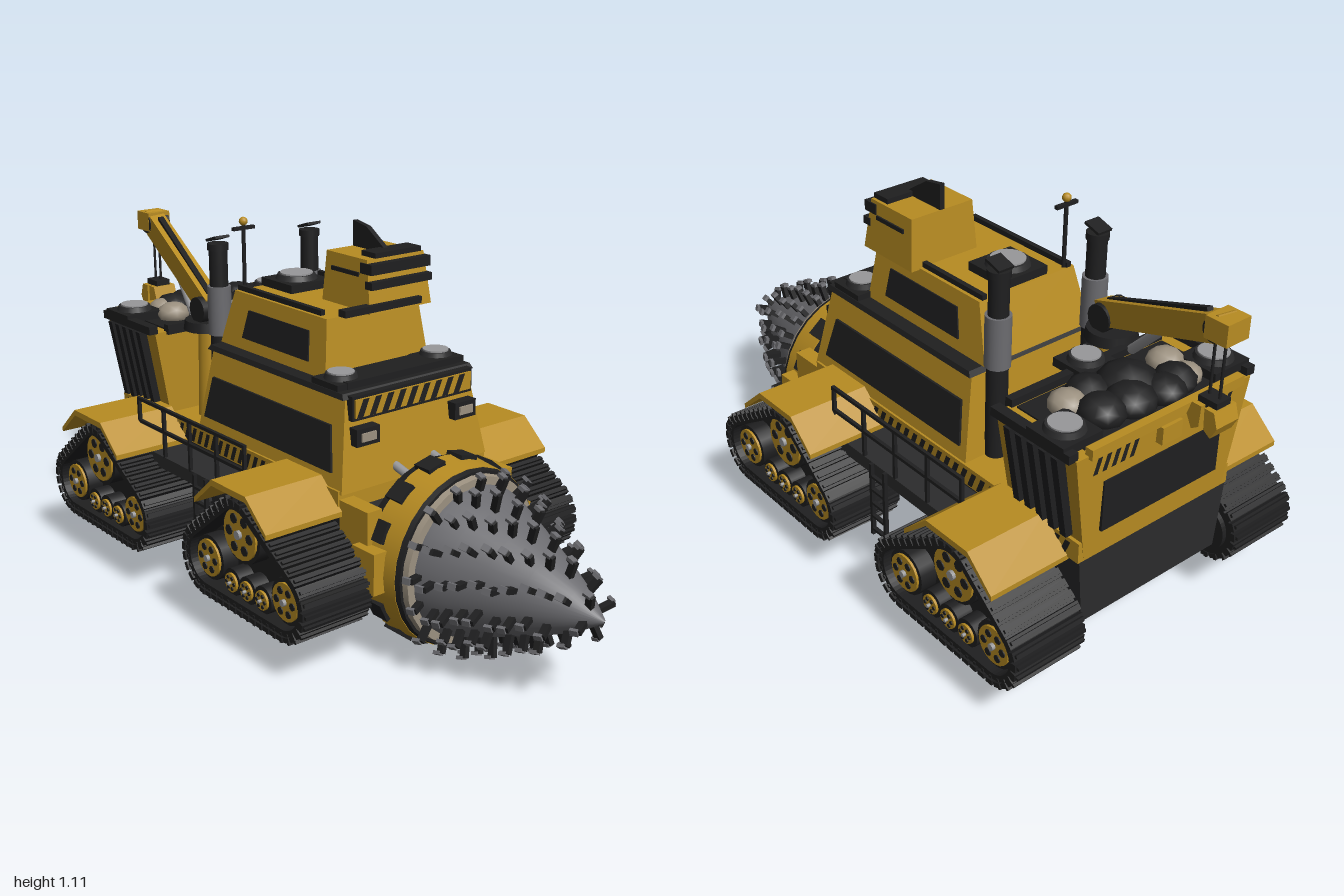
import * as THREE from 'three';
import { mergeGeometries } from 'three/addons/utils/BufferGeometryUtils.js';

const mat = (name, color) => Object.assign(new THREE.MeshStandardMaterial({ color }), { name });

export function createModel() {
  const model = new THREE.Group();
  model.name = 'drillVehicle';
  const yellow = mat('yellow paint', 0xb88c22), black = mat('black trim', 0x1f1f20);
  const dark = mat('dark metal', 0x2b2b2c), steel = mat('drill steel', 0x6c6c70);
  const pale = mat('pale stone', 0x9c9180), lens = mat('lamp glass', 0x98989a);

  const add = (name, geo, m, x = 0, y = 0, z = 0, parent = model) => {
    const mesh = new THREE.Mesh(geo, m);
    mesh.name = name;
    mesh.position.set(x, y, z);
    parent.add(mesh);
    return mesh;
  };
  const box = (name, m, w, h, d, x, y, z) => add(name, new THREE.BoxGeometry(w, h, d), m, x, y, z);
  // Tapered block between two rectangles [x0, x1, z0, z1, y]
  const taper = (name, m, lo, hi) => {
    const g = new THREE.BoxGeometry(1, 1, 1), p = g.attributes.position;
    for (let i = 0; i < p.count; i++) {
      const e = p.getY(i) > 0 ? hi : lo;
      p.setXYZ(i, p.getX(i) > 0 ? e[1] : e[0], e[4], p.getZ(i) > 0 ? e[3] : e[2]);
    }
    g.computeVertexNormals();
    return add(name, g, m);
  };
  const cyl = (name, m, r0, r1, h, x, y, z, axis = 'y', n = 20) => {
    const g = new THREE.CylinderGeometry(r1, r0, h, n);
    if (axis === 'x') g.rotateZ(-Math.PI / 2);
    if (axis === 'z') g.rotateX(Math.PI / 2);
    return add(name, g, m, x, y, z);
  };
  // Round rod or square beam between two points
  const rod = (name, m, a, b, r, square) => {
    const A = new THREE.Vector3(...a), B = new THREE.Vector3(...b), d = B.clone().sub(A), L = d.length();
    const g = square ? new THREE.BoxGeometry(r * 1.5, r * 2, L) : new THREE.CylinderGeometry(r, r, L, 10).rotateX(Math.PI / 2);
    const mesh = add(name, g, m, ...A.clone().add(B).multiplyScalar(0.5).toArray());
    mesh.lookAt(B);
    return mesh;
  };
  // Side profile in (z, y), extruded across x from x0 to x1
  const profile = (name, m, shape, x0, x1) => {
    const g = new THREE.ExtrudeGeometry(shape, { depth: x1 - x0, bevelEnabled: false, curveSegments: 8 });
    return add(name, g.rotateY(-Math.PI / 2), m, x1, 0, 0);
  };
  const poly = pts => new THREE.Shape(pts.map(p => new THREE.Vector2(...p)));
  // Slanted warning stripes, w by h, facing +z before turning
  const stripes = (w, h, n, x, y, z, ry = 0, rx = 0) => {
    const s = w / (n + 0.5), list = [];
    for (let i = 0; i < n; i++) {
      const a = -w / 2 + i * s;
      list.push(poly([[a, -h / 2], [a + s * 0.5, -h / 2], [a + s, h / 2], [a + s * 0.5, h / 2]]));
    }
    const mesh = add('warningStripes', new THREE.ShapeGeometry(list), black, x, y, z);
    mesh.rotation.set(rx, ry, 0);
  };
  // Square fan housing with a round grey lens
  const lampPad = (x, y, z, s) => {
    box('lampBase', black, s, 0.025, s, x, y, z);
    cyl('lampCollar', dark, s * 0.42, s * 0.38, 0.015, x, y + 0.02, z);
    cyl('lampLens', lens, s * 0.33, s * 0.33, 0.006, x, y + 0.029, z);
  };

  // Chassis and hull tiers
  taper('chassis', dark, [-0.25, 0.25, -0.86, 0.32, 0.23], [-0.27, 0.27, -0.86, 0.35, 0.43]);
  box('hullBand', yellow, 0.55, 0.06, 1.13, 0, 0.46, -0.295);
  for (const s of [-1, 1]) stripes(0.95, 0.045, 26, s * 0.277, 0.458, -0.375, s * Math.PI / 2);
  taper('lowerHull', yellow, [-0.27, 0.27, -0.42, 0.28, 0.48], [-0.225, 0.225, -0.39, 0.24, 0.735]);
  taper('lowerSideWindows', black, [-0.268, 0.268, -0.39, 0.23, 0.53], [-0.246, 0.246, -0.37, 0.2, 0.655]);
  taper('hullTopTrim', black, [-0.24, 0.24, -0.4, 0.25, 0.735], [-0.235, 0.235, -0.39, 0.24, 0.75]);
  taper('upperHull', yellow, [-0.19, 0.19, -0.4, 0.11, 0.75], [-0.168, 0.168, -0.35, 0.09, 0.915]);
  taper('upperSideWindows', black, [-0.19, 0.19, -0.29, 0.03, 0.785], [-0.178, 0.178, -0.27, 0.02, 0.87]);
  box('upperHullBar', black, 0.28, 0.02, 0.03, 0.01, 0.928, 0.11);
  for (const s of [-1, 1]) box('roofRail', black, 0.015, 0.02, 0.4, s * 0.15, 0.92, -0.15);

  // Hull front: warning strip, lamps, pads and grille
  box('stripFrame', black, 0.44, 0.07, 0.03, 0, 0.71, 0.25);
  box('stripPlate', yellow, 0.425, 0.052, 0.006, 0, 0.71, 0.267);
  stripes(0.42, 0.05, 9, 0, 0.71, 0.272);
  box('frontGrille', black, 0.4, 0.03, 0.1, 0, 0.755, 0.17);
  for (const s of [-1, 1]) {
    box('headlampFrame', black, 0.08, 0.05, 0.04, s * 0.18, 0.632, 0.265);
    box('headlampGlass', pale, 0.05, 0.024, 0.006, s * 0.18, 0.632, 0.287);
    lampPad(s * 0.175, 0.755, 0.16, 0.115);
    lampPad(s * 0.265, 0.775, -0.78, 0.13);
  }
  lampPad(0, 0.93, -0.27, 0.15);
  lampPad(0, 0.775, -0.58, 0.12);

  // Offset lookout cab with visor and roof fin
  taper('lookoutCab', yellow, [-0.035, 0.195, -0.1, 0.115, 0.91], [-0.025, 0.185, -0.09, 0.09, 1.06]);
  box('cabVisorLower', black, 0.225, 0.022, 0.03, 0.08, 0.99, 0.105);
  box('cabVisorUpper', black, 0.22, 0.03, 0.05, 0.08, 1.035, 0.09);
  box('cabSideSlits', black, 0.226, 0.012, 0.12, 0.08, 1.015, 0);
  box('cabRoofPlate', black, 0.17, 0.02, 0.06, 0.09, 1.065, 0.06);
  profile('roofFin', black, poly([[0.07, 1.06], [-0.09, 1.06], [-0.09, 1.135], [-0.03, 1.125]]), 0.072, 0.088);

  // Exhaust stacks and mast
  for (const s of [-1, 1]) {
    cyl('exhaustMuffler', steel, 0.036, 0.036, 0.15, s * 0.172, 0.84, -0.43);
    cyl('exhaustBase', black, 0.03, 0.03, 0.28, s * 0.172, 0.63, -0.43);
    cyl('exhaustPipe', black, 0.028, 0.028, 0.13, s * 0.172, 0.975, -0.43);
    cyl('exhaustLip', black, 0.032, 0.032, 0.02, s * 0.172, 1.035, -0.43);
    box('exhaustFlap', black, 0.05, 0.008, 0.055, s * 0.172, 1.06, -0.43).rotation.x = -0.3;
  }
  cyl('mast', black, 0.006, 0.006, 0.2, -0.14, 1.01, -0.34, 'y', 8);
  box('mastCrossbar', black, 0.075, 0.01, 0.012, -0.14, 1.1, -0.34);
  add('mastLamp', new THREE.SphereGeometry(0.013, 10, 8), yellow, -0.14, 1.12, -0.34);

  // Drill shroud and conical bit
  const cy = 0.295;
  cyl('shroudBack', black, 0.255, 0.265, 0.05, 0, cy, 0.375, 'z', 28);
  cyl('shroud', yellow, 0.268, 0.258, 0.1, 0, cy, 0.435, 'z', 28);
  cyl('shroudLip', black, 0.258, 0.252, 0.02, 0, cy, 0.49, 'z', 28);
  cyl('bearingRing', pale, 0.245, 0.24, 0.025, 0, cy, 0.505, 'z', 28);
  for (let i = 0; i < 14; i++) {
    const a = (i + 0.5) / 14 * Math.PI * 2;
    box('shroudClamp', black, 0.06, 0.014, 0.06, Math.sin(a) * 0.266, cy + Math.cos(a) * 0.266, 0.4).rotation.z = -a;
  }
  const cone = [[0.22, 0.5], [0.215, 0.53], [0.19, 0.6], [0.15, 0.7], [0.108, 0.8], [0.06, 0.9], [0.004, 0.985]];
  add('drillCone', new THREE.LatheGeometry(cone.map(p => new THREE.Vector2(...p)), 32).rotateX(Math.PI / 2), steel, 0, cy, 0);
  const teeth = [], tips = [];
  for (let k = 0; k < 11; k++) {
    const z = 0.535 + k * 0.041, j = cone.findIndex(p => p[1] > z), [ra, za] = cone[j - 1], [rb, zb] = cone[j];
    const r = ra + (rb - ra) * (z - za) / (zb - za), n = Math.max(4, Math.round(r * 78));
    for (let i = 0; i < n; i++) {
      const a = (i + k * 0.38) / n * Math.PI * 2, long = 0.05 + 0.022 * ((i * 5 + k * 3) % 4) / 3 * r / 0.215;
      const place = (g, out) => g.rotateX(0.3).translate(0, r + out, z).rotateZ(-a);
      teeth.push(place(new THREE.BoxGeometry(0.015, long, 0.02), long / 2 - 0.012));
      tips.push(place(new THREE.BoxGeometry(0.018, 0.01, 0.023), long - 0.011));
    }
  }
  add('drillTeeth', mergeGeometries(teeth), black, 0, cy, 0);
  add('drillToothTips', mergeGeometries(tips), steel, 0, cy, 0);
  for (const s of [-1, 1]) {
    rod('drillPiston', lens, [s * 0.07, 0.52, 0.26], [s * 0.07, 0.49, 0.38], 0.013);
    box('shroudLug', yellow, 0.045, 0.12, 0.09, s * 0.272, 0.31, 0.4);
    box('shroudArm', yellow, 0.05, 0.13, 0.12, s * 0.245, 0.4, 0.33);
  }

  // Side walkways, railings and ladders
  box('walkway', dark, 0.8, 0.04, 0.59, 0, 0.4, -0.275);
  for (const s of [-1, 1]) {
    const x = s * 0.395;
    for (const y of [0.5, 0.572]) box('handrail', black, 0.01, 0.01, 0.57, x, y, -0.275);
    for (let i = 0; i < 5; i++) box('railPost', black, 0.01, 0.16, 0.01, x, 0.495, 0.005 - i * 0.14);
    for (const z of [-0.18, -0.24]) box('ladderRail', black, 0.012, 0.24, 0.01, s * 0.405, 0.3, z);
    for (let i = 0; i < 5; i++) box('ladderRung', black, 0.012, 0.008, 0.06, s * 0.405, 0.2 + i * 0.045, -0.21);
  }

  // Track units: rounded triangular loops, wheels and fenders
  const loop = (zc, r) => {
    const c = [[zc + 0.18, 0.25], [zc - 0.022, 0.375], [zc - 0.18, 0.25]], sh = new THREE.Shape();
    const nrm = i => { const p = c[i % 3], q = c[(i + 1) % 3]; return Math.atan2(p[0] - q[0], q[1] - p[1]); };
    for (let i = 0; i < 3; i++) {
      const a0 = nrm(i + 2);
      let a1 = nrm(i);
      while (a1 < a0) a1 += Math.PI * 2;
      sh.absarc(...c[i], r, a0, a1, false);
    }
    return sh.closePath();
  };
  const wheel = (s, y, z, r) => {
    cyl('wheelTyre', black, r + 0.012, r + 0.012, 0.05, s * 0.465, y, z, 'x', 18);
    cyl('wheelDisc', yellow, r, r, 0.05, s * 0.472, y, z, 'x', 18);
    for (let i = 0; i < 6; i++) {
      const a = i / 6 * Math.PI * 2;
      cyl('wheelHole', black, r * 0.2, r * 0.2, 0.006, s * 0.497, y + Math.sin(a) * r * 0.63, z + Math.cos(a) * r * 0.63, 'x', 8);
    }
    cyl('wheelHub', lens, r * 0.18, r * 0.18, 0.02, s * 0.497, y, z, 'x', 8);
  };
  for (const s of [-1, 1]) for (const zc of [0.142, -0.622]) {
    const span = (a, b) => s > 0 ? [a, b] : [-b, -a];
    const band = loop(zc, 0.092);
    band.holes.push(loop(zc, 0.074));
    profile('trackBand', black, band, ...span(0.285, 0.51));
    profile('trackFrame', black, loop(zc, 0.075), ...span(0.27, 0.43));
    // Tread shoes spaced along the loop
    const path = loop(zc, 0.098), n = 46, shoes = [];
    for (let i = 0; i < n; i++) {
      const p = path.getPointAt(i / n), t = path.getTangentAt(i / n), ang = Math.atan2(t.y, t.x);
      for (const [w, h, d] of [[0.235, 0.014, 0.024], [0.225, 0.03, 0.009]])
        shoes.push(new THREE.BoxGeometry(w, h, d).rotateX(-ang).translate(s * 0.4, p.y, p.x));
    }
    add('trackShoes', mergeGeometries(shoes), black);
    wheel(s, 0.375, zc - 0.022, 0.075);
    for (const k of [-1, 1]) wheel(s, 0.25, zc + k * 0.18, 0.055);
    for (const k of [-1, 0, 1]) wheel(s, 0.213, zc + k * 0.072, 0.028);
    const zf = zc - 0.03;
    profile('fender', yellow, poly([[zf + 0.17, 0.435], [zf + 0.08, 0.515], [zf - 0.08, 0.515], [zf - 0.17, 0.435],
      [zf - 0.17, 0.42], [zf - 0.08, 0.497], [zf + 0.08, 0.497], [zf + 0.17, 0.42]].reverse()), ...span(0.27, 0.525));
  }

  // Flared ore hopper
  taper('hopper', yellow, [-0.255, 0.255, -0.86, -0.59, 0.43], [-0.31, 0.31, -0.87, -0.585, 0.755]);
  box('hopperBed', black, 0.52, 0.02, 0.24, 0, 0.75, -0.725);
  for (const z of [-0.585, -0.87]) box('hopperRim', z < -0.8 ? yellow : black, 0.54, 0.03, 0.025, 0, 0.762, z);
  for (const s of [-1, 1]) {
    box('hopperSideRim', black, 0.03, 0.025, 0.28, s * 0.315, 0.765, -0.725);
    for (let i = 0; i < 5; i++) {
      const z = -0.65 - i * 0.042;
      const at = (a, b, y) => [Math.min(s * a, s * b), Math.max(s * a, s * b), z - 0.011, z + 0.011, y];
      taper('hopperRib', black, at(0.25, 0.29, 0.5), at(0.29, 0.335, 0.75));
    }
    stripes(0.17, 0.045, 5, s * 0.17, 0.715, -0.873, Math.PI);
  }
  box('hopperBackPanel', black, 0.42, 0.15, 0.01, 0, 0.58, -0.866);
  box('hopperLatch', yellow, 0.07, 0.05, 0.03, 0, 0.72, -0.875);

  // Ore load
  [[-0.01, -0.72, 0.085, 0], [0.04, -0.78, 0.07, 0], [0.13, -0.77, 0.065, 0], [-0.06, -0.8, 0.06, 0], [0.09, -0.68, 0.06, 0],
    [-0.12, -0.78, 0.06, 0], [0.17, -0.69, 0.052, 1], [-0.17, -0.7, 0.052, 1], [-0.16, -0.78, 0.045, 1]].forEach(([x, z, r, light], i) => {
    const rock = add('oreRock', new THREE.IcosahedronGeometry(r, 1), light ? pale : black, x, 0.775, z);
    rock.scale.y = 0.72;
    rock.rotation.y = i * 1.3;
  });

  // Crane with grab
  cyl('cranePost', yellow, 0.045, 0.035, 0.32, -0.165, 0.63, -0.5, 'y', 10);
  cyl('craneTurntable', black, 0.075, 0.07, 0.03, -0.165, 0.78, -0.51);
  cyl('craneShoulder', black, 0.04, 0.04, 0.09, -0.165, 0.83, -0.5, 'x', 14);
  rod('craneBoom', yellow, [-0.165, 0.83, -0.48], [-0.07, 1.025, -0.97], 0.036, true);
  rod('craneBoomStrip', black, [-0.163, 0.868, -0.5], [-0.082, 1.035, -0.9], 0.012, true);
  rod('cranePiston', lens, [-0.15, 0.77, -0.6], [-0.125, 0.9, -0.73], 0.014);
  cyl('craneElbow', black, 0.032, 0.032, 0.075, -0.072, 1.02, -0.95, 'x', 14);
  box('craneHead', yellow, 0.08, 0.06, 0.07, -0.07, 1.025, -0.963);
  for (const k of [-1, 1]) {
    rod('craneCable', black, [-0.07, 1, -0.95 + k * 0.016], [-0.07, 0.82, -0.95 + k * 0.016], 0.004);
    profile('grabJaw', yellow, poly([[-0.95 + k * 0.005, 0.81], [-0.95 + k * 0.035, 0.81], [-0.95 + k * 0.048, 0.77],
      [-0.95 + k * 0.03, 0.735], [-0.95 + k * 0.008, 0.75]]), -0.11, -0.03);
  }
  box('grabHead', black, 0.05, 0.025, 0.06, -0.07, 0.815, -0.95);
  return model;
}
